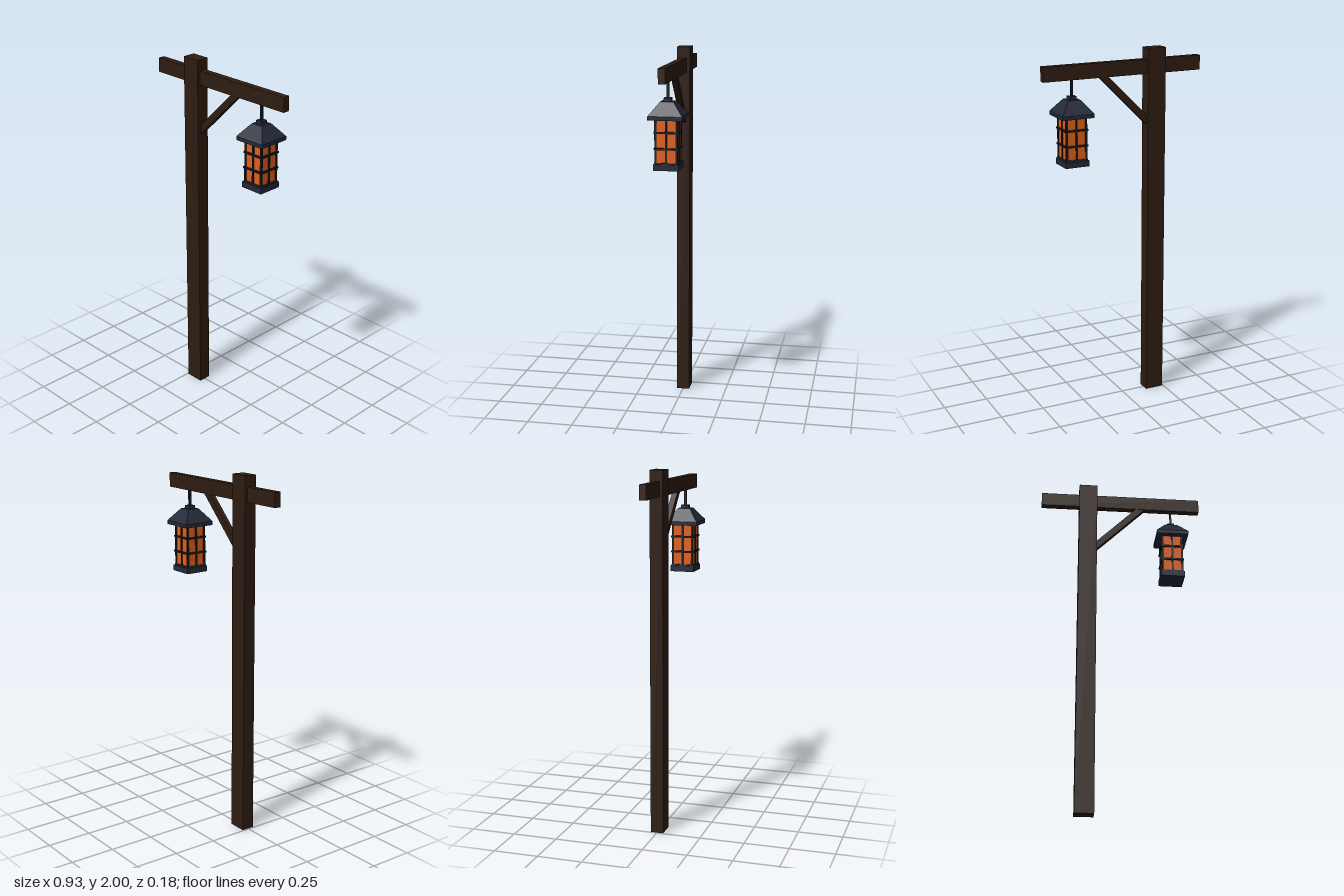
import * as THREE from 'three';

const mat = (color) => new THREE.MeshStandardMaterial({ color, flatShading: true });

export function createModel() {
  const model = new THREE.Group();
  const wood = mat(0x2e1d12);
  const iron = mat(0x242837);
  const darkIron = mat(0x171a22);
  const glass = mat(0xe0601a);

  function add(parent, name, geometry, material, x, y, z) {
    const mesh = new THREE.Mesh(geometry, material);
    mesh.name = name;
    mesh.position.set(x, y, z);
    parent.add(mesh);
    return mesh;
  }
  const box = (parent, name, material, w, h, d, x, y, z) =>
    add(parent, name, new THREE.BoxGeometry(w, h, d), material, x, y, z);

  // Square frustum given by its half widths
  function frustum(parent, name, material, top, bottom, y0, y1) {
    const g = new THREE.CylinderGeometry(top * Math.SQRT2, bottom * Math.SQRT2, y1 - y0, 4);
    g.rotateY(Math.PI / 4);
    return add(parent, name, g, material, 0, (y0 + y1) / 2, 0);
  }

  // Timber post and crossbeam
  box(model, 'post', wood, 0.105, 2, 0.072, -0.191, 1, 0);
  box(model, 'crossbeam', wood, 0.928, 0.08, 0.038, 0, 1.9, 0);

  // Diagonal brace, cut flush against post and beam
  const braceShape = new THREE.Shape([
    new THREE.Vector2(-0.139, 1.583),
    new THREE.Vector2(0.141, 1.861),
    new THREE.Vector2(0.089, 1.861),
    new THREE.Vector2(-0.139, 1.635),
  ]);
  const braceGeometry = new THREE.ExtrudeGeometry(braceShape, { depth: 0.03, bevelEnabled: false });
  add(model, 'brace', braceGeometry, wood, 0, 0, -0.015);

  // Hanging lantern
  const lantern = new THREE.Group();
  lantern.name = 'lantern';
  lantern.position.x = 0.297;
  model.add(lantern);

  box(lantern, 'hanger', darkIron, 0.01, 0.1, 0.014, 0, 1.815, 0);
  box(lantern, 'finial', iron, 0.04, 0.02, 0.04, 0, 1.764, 0);
  frustum(lantern, 'roof', iron, 0.035, 0.091, 1.686, 1.756);
  box(lantern, 'eave', iron, 0.182, 0.021, 0.182, 0, 1.6755, 0);
  box(lantern, 'glass', glass, 0.112, 0.24, 0.112, 0, 1.55, 0);
  box(lantern, 'base', iron, 0.136, 0.032, 0.136, 0, 1.416, 0);
  box(lantern, 'baseTrim', iron, 0.126, 0.008, 0.126, 0, 1.436, 0);

  // Corner posts
  for (const sx of [-1, 1])
    for (const sz of [-1, 1])
      box(lantern, 'cornerPost', darkIron, 0.011, 0.23, 0.011, sx * 0.0555, 1.552, sz * 0.0555);

  // Glazing bars: one upright and two crossbars on each side
  for (let i = 0; i < 4; i++) {
    const side = new THREE.Group();
    side.name = 'glazingBars';
    side.rotation.y = (i * Math.PI) / 2;
    lantern.add(side);
    box(side, 'upright', darkIron, 0.01, 0.23, 0.01, 0, 1.552, 0.057);
    for (const y of [1.513, 1.598])
      box(side, 'crossbar', darkIron, 0.13, 0.01, 0.01, 0, y, 0.06);
  }

  return model;
}
